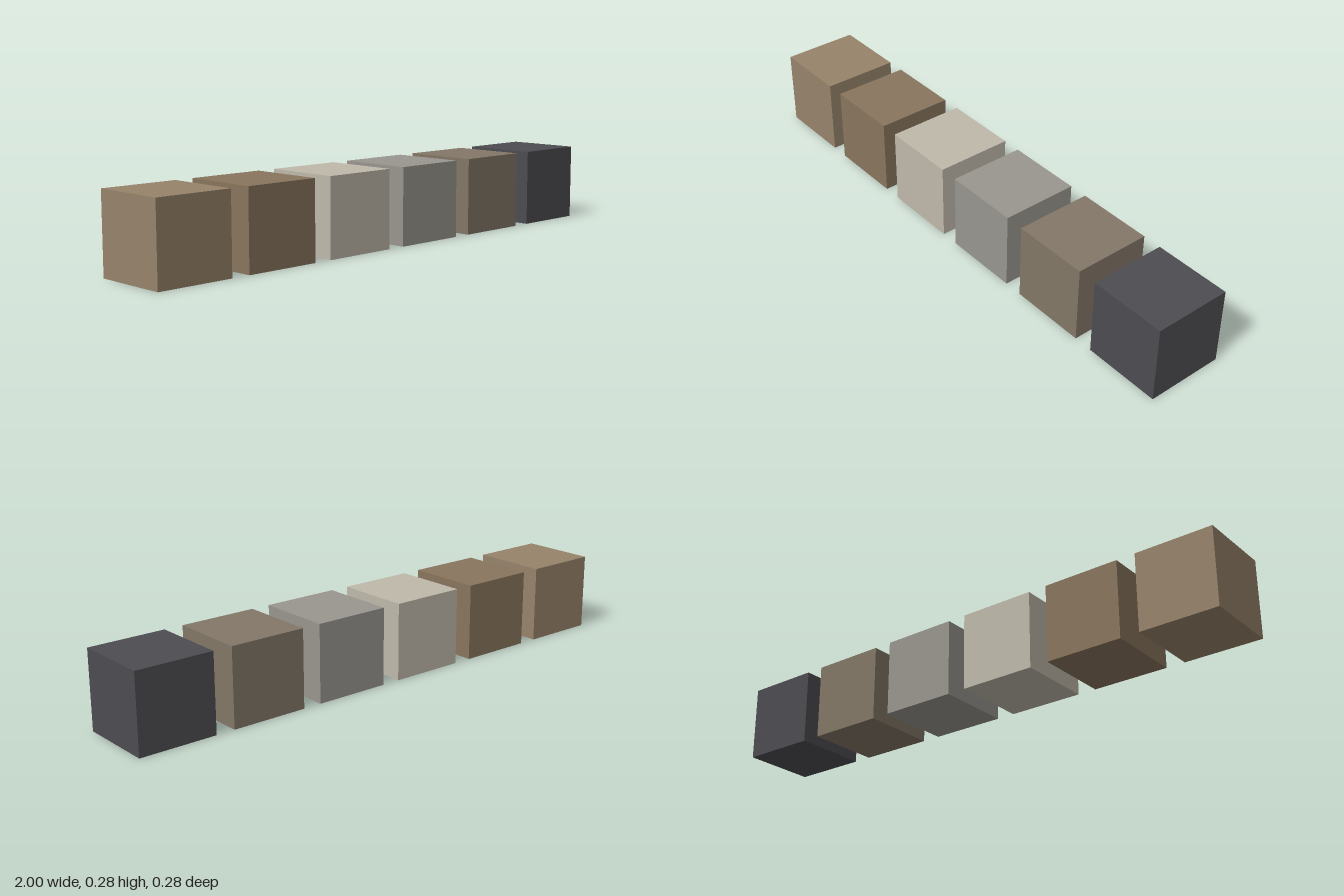
import * as THREE from 'three';

// A row of six equal cubes, one colour each, listed from -x to +x
const CUBES = [
  ['tanCube', 0x97836a],
  ['brownCube', 0x89755d],
  ['creamCube', 0xbfb9ab],
  ['greyCube', 0x99968f],
  ['taupeCube', 0x837767],
  ['charcoalCube', 0x4d4c51],
];
const SIZE = 0.277;
const PITCH = (2 - SIZE) / (CUBES.length - 1);

export function createModel() {
  const group = new THREE.Group();
  group.name = 'cubeRow';
  const geometry = new THREE.BoxGeometry(SIZE, SIZE, SIZE);
  CUBES.forEach(([name, color], i) => {
    const cube = new THREE.Mesh(geometry, new THREE.MeshStandardMaterial({ color }));
    cube.name = name;
    cube.position.set(-1 + SIZE / 2 + i * PITCH, SIZE / 2, 0);
    group.add(cube);
  });
  return group;
}
